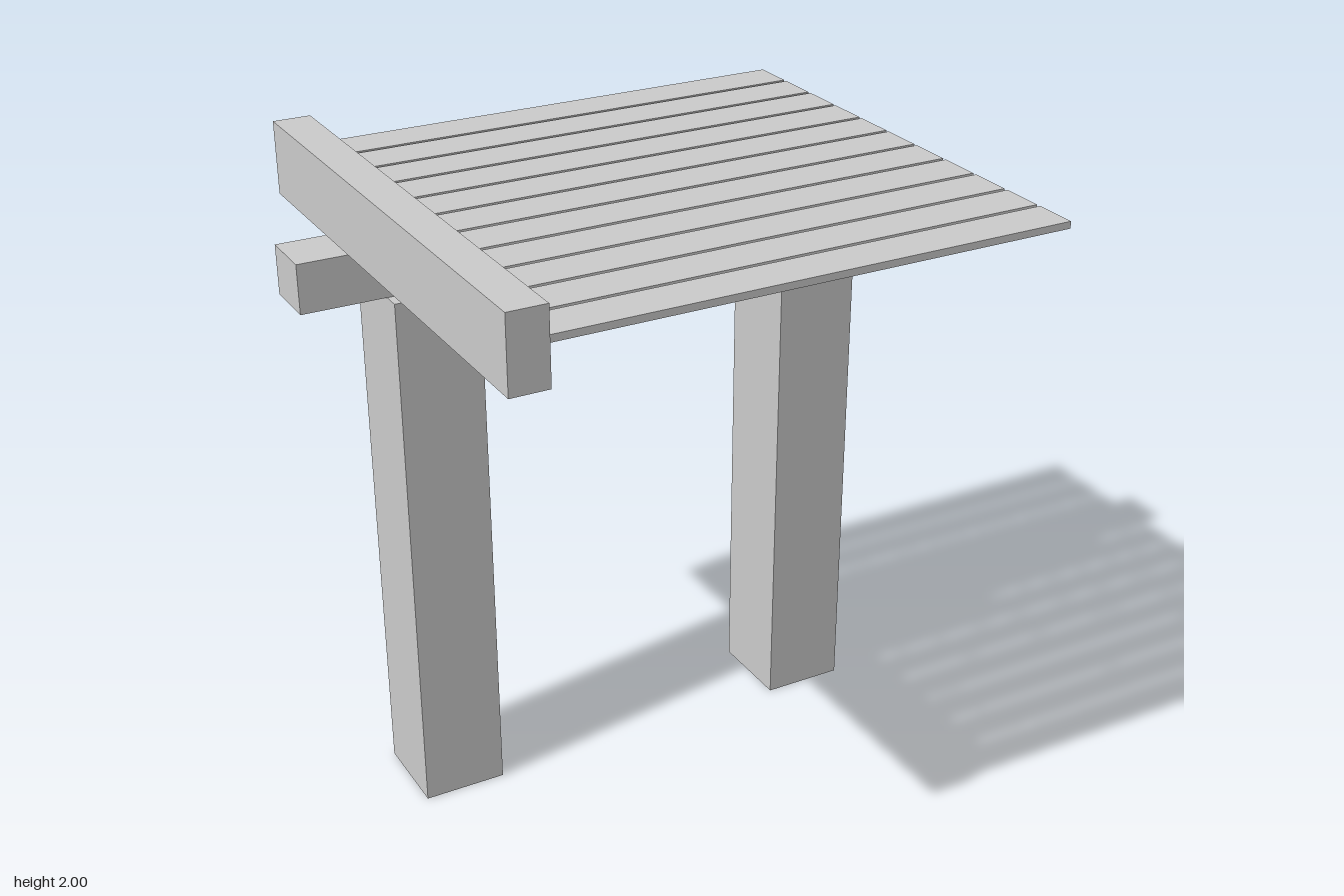
import * as THREE from 'three';

const material = new THREE.MeshStandardMaterial({ color: 0xcccccc, flatShading: true });

// Box given by its [min, max] extent along each axis
function block(name, [x0, x1], [y0, y1], [z0, z1]) {
  const mesh = new THREE.Mesh(new THREE.BoxGeometry(x1 - x0, y1 - y0, z1 - z0), material);
  mesh.position.set((x0 + x1) / 2, (y0 + y1) / 2, (z0 + z1) / 2);
  mesh.name = name;
  return mesh;
}

export function createModel() {
  const model = new THREE.Group();
  model.name = 'slattedCanopy';

  // Two square posts carrying a cross beam
  const postY = [0, 1.635];
  const postZ = [-0.475, -0.205];
  model.add(block('rightPost', [-0.717, -0.465], postY, postZ));
  model.add(block('leftPost', [0.507, 0.759], postY, postZ));
  model.add(block('crossBeam', [-0.963, 0.96], [1.635, 1.778], [-0.422, -0.257]));

  // Edge rail that holds the slats at one end
  model.add(block('edgeRail', [-0.827, -0.718], [1.788, 2], [-0.767, 0.765]));

  // Roof of evenly spaced thin slats
  const slats = new THREE.Group();
  slats.name = 'roofSlats';
  const count = 11, pitch = 0.139, width = 0.127, back = -0.755;
  for (let i = 0; i < count; i++) {
    const z = back + i * pitch;
    slats.add(block(`slat${i + 1}`, [-0.718, 0.762], [1.902, 1.922], [z, z + width]));
  }
  model.add(slats);

  return model;
}
